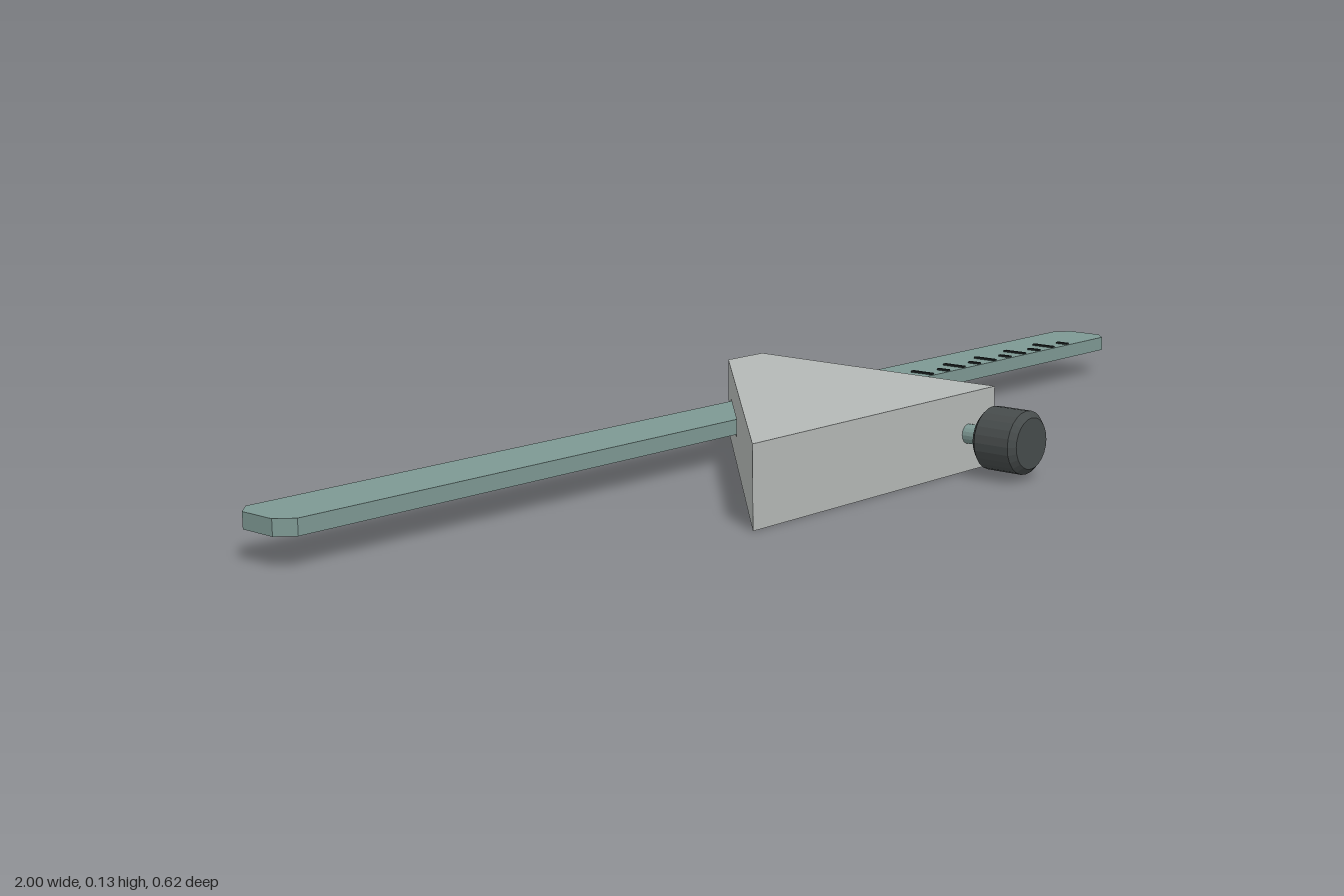
import * as THREE from 'three';
import { mergeGeometries } from 'three/addons/utils/BufferGeometryUtils.js';

const mat = (name, color, flatShading = false) => {
  const m = new THREE.MeshStandardMaterial({ color, flatShading });
  m.name = name;
  return m;
};

// Closed shape from [x, y] pairs
const shapeOf = (pts) => new THREE.Shape(pts.map(([x, y]) => new THREE.Vector2(x, y)));

// Horizontal face from [x, z] points at a height, facing up or down
function cap(pts, y, up) {
  const g = new THREE.ShapeGeometry(shapeOf(pts.map(([x, z]) => [x, up ? -z : z])));
  return g.rotateX(up ? -Math.PI / 2 : Math.PI / 2).translate(0, y, 0);
}

// Vertical face from p to q ([x, z]); hole = [u0, u1, y0, y1] along it
function wall(p, q, y0, y1, hole) {
  const len = Math.hypot(q[0] - p[0], q[1] - p[1]);
  const s = shapeOf([[0, y0], [len, y0], [len, y1], [0, y1]]);
  if (hole) {
    const [a, b, c, d] = hole;
    s.holes.push(new THREE.Path([[a, c], [a, d], [b, d], [b, c]].map(([x, y]) => new THREE.Vector2(x, y))));
  }
  return new THREE.ShapeGeometry(s)
    .rotateY(-Math.atan2(q[1] - p[1], q[0] - p[0]))
    .translate(p[0], 0, p[1]);
}

export function createModel() {
  const group = new THREE.Group();
  const grey = mat('block grey', 0xb4b8b6);
  const steel = mat('blue grey steel', 0x7d9893, true);
  const black = mat('knob black', 0x464b4b, true);
  const ink = mat('mark black', 0x1e2424);
  const add = (name, geo, material, parent = group) => {
    const m = new THREE.Mesh(geo, material);
    m.name = name;
    parent.add(m);
    return m;
  };

  // Wedge block with a rectangular slot running through it along x
  const H = 0.128, R = 0.163, F = 0.189, B = -0.312;
  const fl = [-0.426, F], fr = [R, F], br = [R, B], bl = [0.075, B];
  const sF = -0.125, sB = -0.259, sy0 = 0.044, sy1 = 0.075;
  const slantX = (z) => fl[0] + (F - z) * (bl[0] - fl[0]) / (F - B);
  const slantU = (z) => Math.hypot(slantX(z) - bl[0], z - B);
  const plan = [fl, fr, br, bl];
  const slot = [[slantX(sF), sF], [R, sF], [R, sB], [slantX(sB), sB]];
  add('wedgeBlock', mergeGeometries([
    cap(plan, 0, false),
    cap(plan, H, true),
    wall(fl, fr, 0, H),
    wall(fr, br, 0, H, [F - sF, F - sB, sy0, sy1]),
    wall(br, bl, 0, H),
    wall(bl, fl, 0, H, [slantU(sB), slantU(sF), sy0, sy1]),
    // slot lining
    cap(slot, sy0, true),
    cap(slot, sy1, false),
    wall(slot[1], slot[0], sy0, sy1),
    wall(slot[3], slot[2], sy0, sy1),
  ]), grey);

  // Long ruler blade with clipped corners
  const y0 = 0.047, y1 = 0.072, zF = -0.137, zB = -0.25, c = 0.024;
  const outline = [
    [-1 + c, -zF], [1 - c, -zF], [1, -zF + c], [1, -zB - c],
    [1 - c, -zB], [-1 + c, -zB], [-1, -zB - c], [-1, -zF + c],
  ];
  const blade = new THREE.ExtrudeGeometry(shapeOf(outline), { depth: y1 - y0, bevelEnabled: false });
  add('rulerBlade', blade.rotateX(-Math.PI / 2).translate(0, y0, 0), steel);

  // Graduation marks, alternately long and short
  const marks = new THREE.Group();
  marks.name = 'graduationMarks';
  group.add(marks);
  for (let i = 0; i < 14; i++) {
    const len = i % 2 ? 0.024 : 0.046;
    const tick = add('mark', new THREE.BoxGeometry(0.008, 0.004, len), ink, marks);
    tick.position.set(0.239 + i * 0.0477, y1 + 0.001, -0.14 - len / 2);
  }

  // Clamping screw, reaching through the block to the blade
  const screw = new THREE.Group();
  screw.name = 'clampScrew';
  screw.position.set(0.092, 0.061, 0);
  group.add(screw);
  const shaft = new THREE.CylinderGeometry(0.016, 0.016, 0.377, 16);
  add('screwShaft', shaft.rotateX(Math.PI / 2).translate(0, 0, 0.0515), steel, screw);

  // Knob with chamfered rims
  const profile = [[0, 0.228], [0.041, 0.228], [0.051, 0.238], [0.051, 0.302], [0.041, 0.312], [0, 0.312]];
  const knob = new THREE.LatheGeometry(profile.map(([r, h]) => new THREE.Vector2(r, h)), 24);
  add('screwKnob', knob.rotateX(Math.PI / 2), black, screw);

  return group;
}
